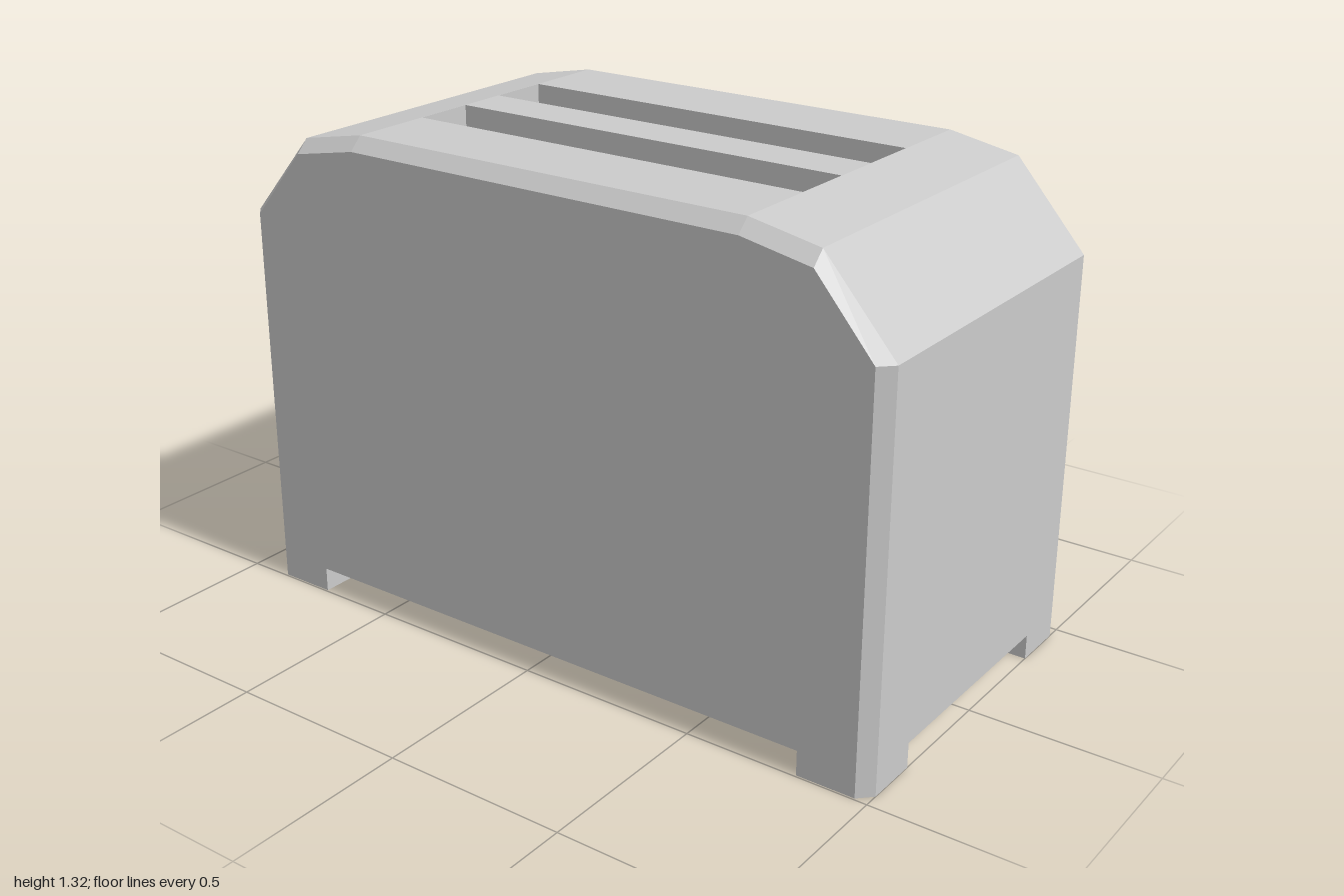
import * as THREE from 'three';

const material = new THREE.MeshStandardMaterial({ color: 0xcccccc, flatShading: true });
const HALF_X = 0.9575, RIM_Z = 0.46, HALF_Z = 0.495, BASE = 0.067, TOP = 1.316, BEVEL = 0.035;

function add(parent, name, geometry, x = 0, y = 0, z = 0) {
  const mesh = new THREE.Mesh(geometry, material);
  mesh.name = name;
  mesh.position.set(x, y, z);
  parent.add(mesh);
}

const shapeOf = (pts) => new THREE.Shape(pts.map(([x, y]) => new THREE.Vector2(x, y)));
const rect = (x0, y0, x1, y1) => [[x0, y0], [x1, y0], [x1, y1], [x0, y1]];

// Flat panel facing +z, with rectangular holes
function panel(outline, holes = []) {
  const shape = shapeOf(outline);
  shape.holes = holes.map(shapeOf);
  return new THREE.ShapeGeometry(shape);
}

// Upright prism from an outline of [x, z] points
function prism(outline, height) {
  const shape = shapeOf(outline.map(([x, z]) => [x, -z]));
  return new THREE.ExtrudeGeometry(shape, { depth: height, bevelEnabled: false }).rotateX(-Math.PI / 2);
}

// Inward-facing box without one face (0..5 = +x, -x, +y, -y, +z, -z)
function recess(w, h, d, openFace) {
  const box = new THREE.BoxGeometry(w, h, d);
  const index = [...box.index.array];
  index.splice(openFace * 6, 6);
  box.setIndex(index.reverse());
  box.clearGroups();
  const geometry = box.toNonIndexed();
  geometry.computeVertexNormals();
  return geometry;
}

// Outward quads from a front loop to the loop behind it, skipping listed sides
function band(front, back, skip = []) {
  const pos = [];
  front.forEach((p, i) => {
    if (skip.includes(i)) return;
    const j = (i + 1) % front.length;
    pos.push(...p, ...back[j], ...front[j], ...p, ...back[i], ...back[j]);
  });
  const geometry = new THREE.BufferGeometry();
  geometry.setAttribute('position', new THREE.Float32BufferAttribute(pos, 3));
  geometry.computeVertexNormals();
  return geometry;
}

// Octagonal control on the -x end, flat sides up
function dial(parent, name, apothem, depth, y, z) {
  const r = apothem / Math.cos(Math.PI / 8);
  const geometry = new THREE.CylinderGeometry(r, r, depth, 8, 1, false, Math.PI / 8).rotateZ(Math.PI / 2);
  add(parent, name, geometry, -HALF_X - depth / 2, y, z);
}

export function createModel() {
  const model = new THREE.Group();
  model.name = 'toaster';
  const body = new THREE.Group();
  body.name = 'body';
  body.position.x = 0.0425;
  model.add(body);

  // Half profile, mirrored to a counter-clockwise loop; the rim is inset at front and back
  const mirror = (half) => [...half, ...half.map(([x, y]) => [-x, y]).reverse()];
  const outer = mirror([[HALF_X, BASE], [HALF_X, 1.06], [0.765, 1.28], [0.575, TOP]]);
  const inner = mirror([[HALF_X - BEVEL, BASE], [HALF_X - BEVEL, 1.06], [0.765, 1.28 - BEVEL], [0.575, TOP - BEVEL]]);
  const at = (loop, z) => loop.map(([x, y]) => [x, y, z]);

  // Shell bands; the top (3) and the control end (6) are panels with openings
  add(body, 'shell', band(at(outer, RIM_Z), at(outer, -RIM_Z), [3, 6]));
  add(body, 'frontBevel', band(at(inner, HALF_Z), at(outer, RIM_Z)));
  add(body, 'backBevel', band(at(outer, -RIM_Z), at(inner, -HALF_Z)));
  add(body, 'frontPanel', panel(inner), 0, 0, HALF_Z);
  add(body, 'backPanel', panel(inner).rotateY(Math.PI), 0, 0, -HALF_Z);

  // Top with two bread slots
  const slotX = 0.574, slotIn = 0.067, slotOut = 0.235, slotDepth = 0.8;
  const slots = [-1, 1].map((s) => rect(-slotX, s * slotIn, slotX, s * slotOut));
  add(body, 'topPanel', panel(rect(-0.575, -RIM_Z, 0.575, RIM_Z), slots).rotateX(-Math.PI / 2), 0, TOP, 0);
  for (const s of [-1, 1]) {
    add(body, 'breadSlot', recess(2 * slotX, slotDepth, slotOut - slotIn, 2),
      0, TOP - slotDepth / 2, s * (slotIn + slotOut) / 2);
  }

  // Control end with the lever track
  const trackW = 0.036, trackLow = 0.31, trackHigh = 0.98, trackDepth = 0.1;
  const endPanel = panel(rect(-RIM_Z, BASE, RIM_Z, 1.06), [rect(-trackW, trackLow, trackW, trackHigh)]);
  add(body, 'controlPanel', endPanel.rotateY(-Math.PI / 2), -HALF_X, 0, 0);
  add(body, 'leverTrack', recess(trackDepth, trackHigh - trackLow, 2 * trackW, 1),
    -HALF_X + trackDepth / 2, (trackLow + trackHigh) / 2, 0);

  // Lever with chamfered outer corners
  const lever = [[0, -0.122], [-0.07, -0.122], [-0.085, -0.107], [-0.085, 0.107], [-0.07, 0.122], [0, 0.122]];
  add(body, 'lever', prism(lever, 0.07), -HALF_X, 0.689, 0);

  // Browning knob and two buttons
  dial(body, 'knob', 0.097, 0.063, 0.282, 0.268);
  for (const y of [0.187, 0.291]) dial(body, 'button', 0.04, 0.027, y, -0.28);

  // Corner feet following the body's chamfer
  const foot = [[0.765, 0.312], [HALF_X, 0.312], [HALF_X, RIM_Z], [HALF_X - BEVEL, HALF_Z], [0.765, HALF_Z]];
  for (const sx of [-1, 1]) {
    for (const sz of [-1, 1]) add(body, 'foot', prism(foot.map(([x, z]) => [sx * x, sz * z]), BASE));
  }
  return model;
}
